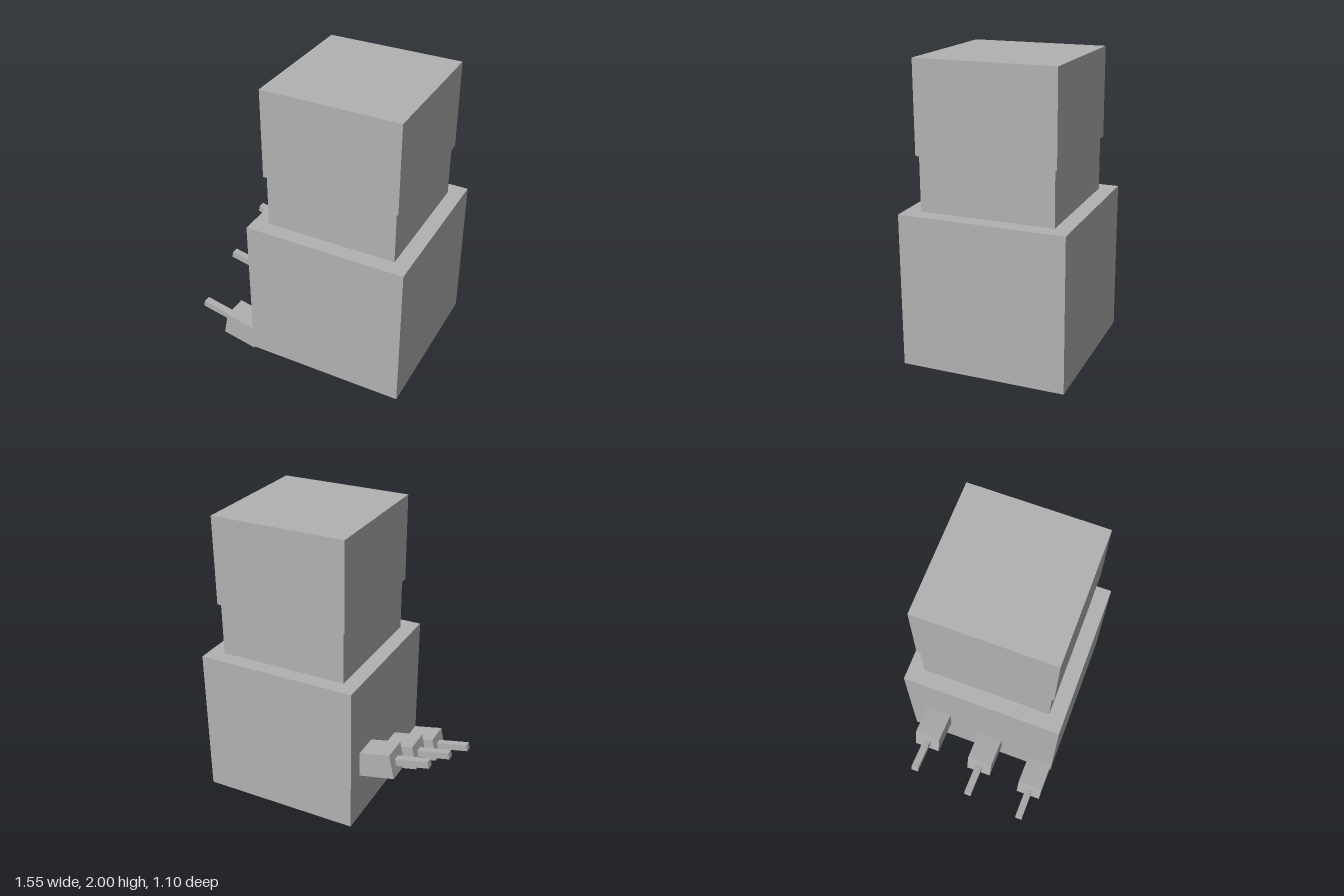
import * as THREE from 'three';

export function createModel() {
  const model = new THREE.Group();
  const grey = new THREE.MeshStandardMaterial({ color: 0xb2b2b2 });
  grey.name = 'plain grey';

  const box = (name, size, position, parent = model) => {
    const mesh = new THREE.Mesh(new THREE.BoxGeometry(...size), grey);
    mesh.name = name;
    mesh.position.set(...position);
    parent.add(mesh);
    return mesh;
  };

  // Stacked blocks share one off-centre axis
  const cx = 0.227;
  box('body', [1.095, 1.02, 1.095], [cx, 0.53, 0]);
  box('neck', [0.885, 0.36, 0.885], [cx, 1.22, 0]);
  box('head', [0.918, 0.6, 0.918], [cx, 1.7, 0]);

  // Three tilted prongs on the -x side, rising toward the back
  for (let i = 0; i < 3; i++) {
    const prong = new THREE.Group();
    prong.name = 'prong' + (i + 1);
    prong.position.set(-0.425, 0.112 + i * 0.177, 0.453 - i * 0.392);
    prong.rotation.z = -0.21;
    box('prongBlock', [0.25, 0.175, 0.177], [0, 0, 0], prong);
    box('prongTip', [0.235, 0.048, 0.049], [-0.2375, 0, 0], prong);
    model.add(prong);
  }
  return model;
}
